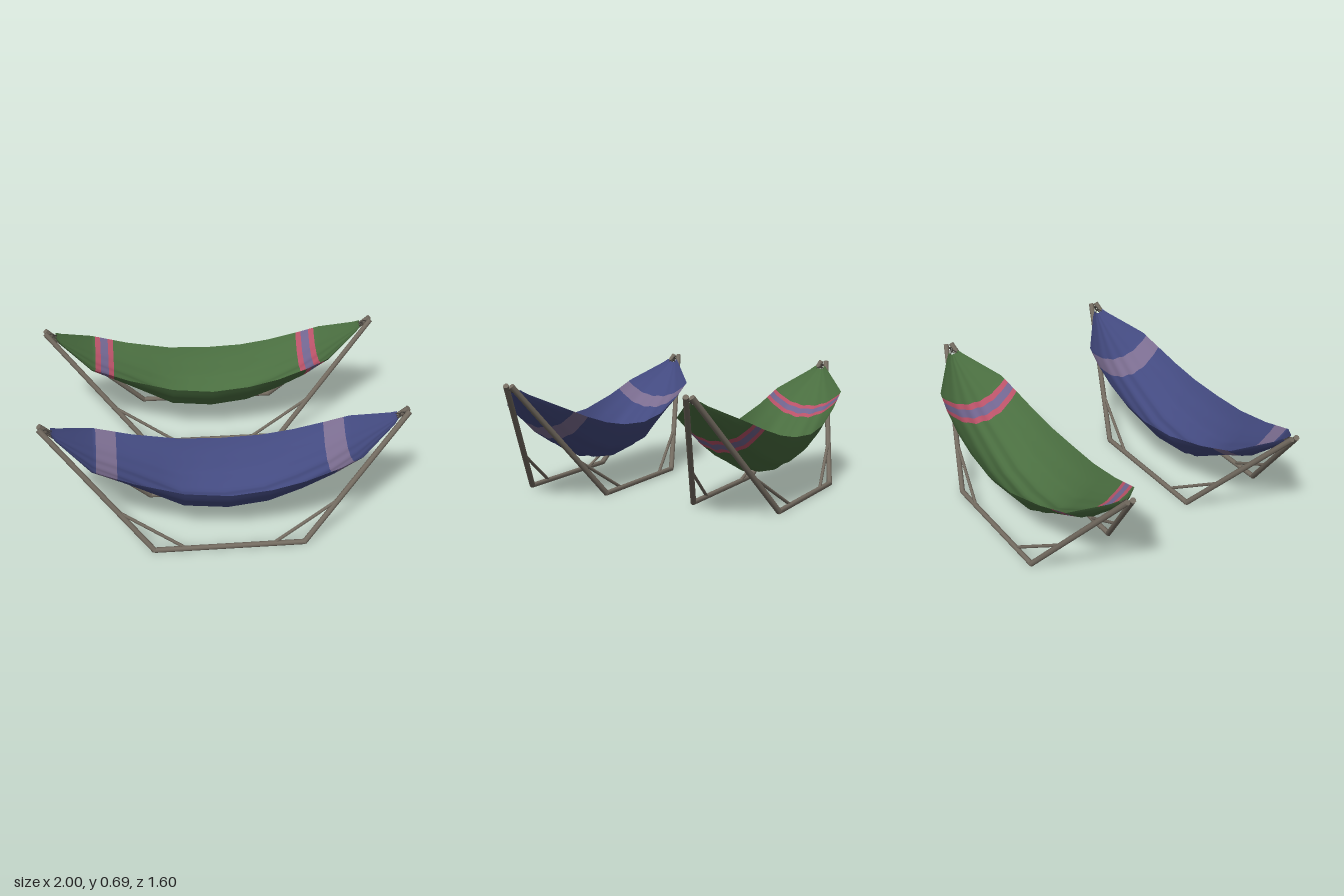
import * as THREE from 'three';

const mat = (name, color, side = THREE.FrontSide) => {
  const m = new THREE.MeshStandardMaterial({ color, side });
  m.name = name;
  return m;
};

// Cloth stations: x, rim height, lowest height, half width
const STATIONS = [
  [-0.93, 0.655, 0.635, 0.03], [-0.9, 0.63, 0.595, 0.06], [-0.72, 0.525, 0.44, 0.208],
  [-0.5, 0.45, 0.325, 0.235], [-0.24, 0.388, 0.175, 0.262], [0, 0.37, 0.152, 0.275],
  [0.22, 0.385, 0.178, 0.264], [0.4, 0.42, 0.25, 0.25], [0.58, 0.475, 0.34, 0.228],
  [0.71, 0.525, 0.435, 0.203], [0.9, 0.625, 0.595, 0.06], [0.93, 0.65, 0.63, 0.03],
];

function station(x) {
  let i = 0;
  while (i < STATIONS.length - 2 && x > STATIONS[i + 1][0]) i++;
  const a = STATIONS[i], b = STATIONS[i + 1];
  const t = (x - a[0]) / (b[0] - a[0]);
  return a.map((v, k) => THREE.MathUtils.lerp(v, b[k], t));
}

// Sagging sheet; bands = [xStart, xEnd, materialIndex], everything else uses material 0
function clothGeometry(bands) {
  const N = 28;
  const xs = [...new Set([...STATIONS.map((s) => s[0]), ...bands.flatMap((b) => [b[0], b[1]]),
    -0.81, -0.37, -0.12, 0.11, 0.31, 0.81])].sort((a, b) => a - b);
  const pos = [], index = [], geo = new THREE.BufferGeometry();
  for (const x of xs) {
    const [, rim, low, half] = station(x);
    for (let j = 0; j <= N; j++) {
      const t = (j / N) * 2 - 1;
      // gathered folds fade out at the rims
      const fold = 0.035 * (rim - low) * Math.cos(t * 17 + 0.6) * (1 - t * t);
      pos.push(x, low + (rim - low) * Math.abs(t) ** 2.2 + fold, t * half);
    }
  }
  for (let i = 0; i < xs.length - 1; i++) {
    const mid = (xs[i] + xs[i + 1]) / 2;
    const band = bands.find((b) => mid > b[0] && mid < b[1]);
    geo.addGroup(index.length, N * 6, band ? band[2] : 0);
    for (let j = 0; j < N; j++) {
      const a = i * (N + 1) + j, b = a + N + 1;
      index.push(a, a + 1, b, b, a + 1, b + 1);
    }
  }
  geo.setAttribute('position', new THREE.Float32BufferAttribute(pos, 3));
  geo.setIndex(index);
  geo.computeVertexNormals();
  return geo;
}

// Straight round bar between two points
function bar(name, from, to, radius, material, sides = 8) {
  const a = new THREE.Vector3(...from), b = new THREE.Vector3(...to);
  const mesh = new THREE.Mesh(new THREE.CylinderGeometry(radius, radius, a.distanceTo(b), sides), material);
  mesh.position.copy(a).add(b).multiplyScalar(0.5);
  mesh.quaternion.setFromUnitVectors(new THREE.Vector3(0, 1, 0), b.sub(a).normalize());
  mesh.name = name;
  return mesh;
}

function buildStand(frame, metal) {
  const stand = new THREE.Group();
  stand.name = 'stand';
  // every bar of one side lies in a plane leaning in towards the top
  const at = (sx, sz, x, y) => [sx * x, y, sz * THREE.MathUtils.mapLinear(y, 0.015, 0.67, 0.25, 0.018)];
  for (const sz of [-1, 1]) {
    stand.add(bar('baseRail', at(-1, sz, 0.412, 0.015), at(1, sz, 0.412, 0.015), 0.015, frame));
    for (const sx of [-1, 1]) {
      stand.add(bar('leg', at(sx, sz, 0.408, 0.013), at(sx, sz, 0.988, 0.675), 0.016, frame));
      stand.add(bar('brace', at(sx, sz, 0.6, 0.232), at(sx, sz, 0.24, 0.018), 0.009, frame));
    }
  }
  for (const sx of [-1, 1]) {
    // bolt through the leg tips, ring and cords to the cloth
    stand.add(bar('bolt', [sx * 0.972, 0.655, -0.036], [sx * 0.972, 0.655, 0.036], 0.006, metal));
    const ring = new THREE.Mesh(new THREE.TorusGeometry(0.013, 0.0035, 6, 14), metal);
    ring.name = 'ring';
    ring.position.set(sx * 0.953, 0.651, 0);
    stand.add(ring);
    for (const z of [-0.022, 0, 0.022]) {
      stand.add(bar('cord', [sx * 0.945, 0.65, z * 0.2], [sx * 0.922, 0.64, z], 0.003, metal, 5));
    }
  }
  return stand;
}

export function createModel() {
  const frame = mat('frame brown', 0x746c61);
  const metal = mat('dark metal', 0x46423d);
  const blue = mat('blue cloth', 0x434a80, THREE.DoubleSide);
  const green = mat('green cloth', 0x4a6e40, THREE.DoubleSide);
  const mauve = mat('mauve stripe', 0x7b6d90, THREE.DoubleSide);
  const violet = mat('violet stripe', 0x71658f, THREE.DoubleSide);
  const pink = mat('pink stripe', 0xb95268, THREE.DoubleSide);

  const model = new THREE.Group();
  model.name = 'hammocks';
  const addHammock = (name, z, bands, materials) => {
    const group = new THREE.Group();
    group.name = name;
    const cloth = new THREE.Mesh(clothGeometry(bands), materials);
    cloth.name = 'cloth';
    group.add(cloth, buildStand(frame, metal));
    group.position.z = z;
    model.add(group);
  };
  addHammock('blueHammock', 0.523, [[-0.7, -0.59, 1], [0.57, 0.68, 1]], [blue, mauve]);
  addHammock('greenHammock', -0.523, [
    [-0.7, -0.668, 1], [-0.668, -0.622, 2], [-0.622, -0.59, 1],
    [0.57, 0.602, 1], [0.602, 0.648, 2], [0.648, 0.68, 1],
  ], [green, pink, violet]);
  return model;
}
